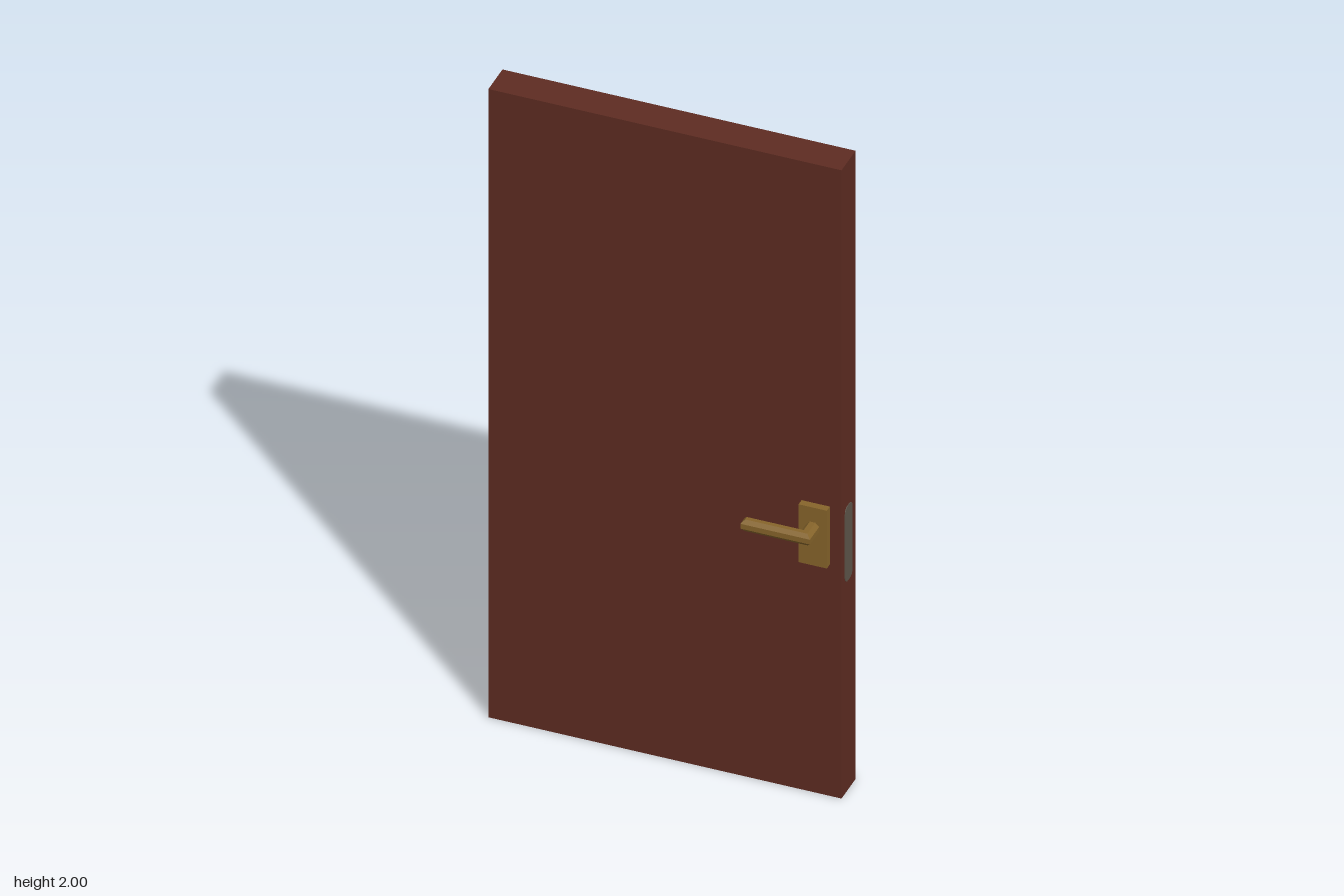
import * as THREE from 'three';

const wood = new THREE.MeshStandardMaterial({ color: 0x5e2c22 });
wood.name = 'reddish wood';
const brass = new THREE.MeshStandardMaterial({ color: 0x87652b, flatShading: true });
brass.name = 'brass';
const steel = new THREE.MeshStandardMaterial({ color: 0x5e554a });
steel.name = 'dull steel';

const DOOR_Z = -0.002;

function add(parent, name, geometry, material, x = 0, y = 0, z = 0) {
  const mesh = new THREE.Mesh(geometry, material);
  mesh.name = name;
  mesh.position.set(x, y, z);
  parent.add(mesh);
  return mesh;
}

// Thin rounded plate lying against a side edge of the door (side = +1 or -1)
function edgePlate(parent, name, side, y, z, width, height, radius) {
  const w = width / 2, h = height / 2, r = radius;
  const shape = new THREE.Shape();
  shape.moveTo(-w + r, -h);
  shape.lineTo(w - r, -h);
  shape.quadraticCurveTo(w, -h, w, -h + r);
  shape.lineTo(w, h - r);
  shape.quadraticCurveTo(w, h, w - r, h);
  shape.lineTo(-w + r, h);
  shape.quadraticCurveTo(-w, h, -w, h - r);
  shape.lineTo(-w, -h + r);
  shape.quadraticCurveTo(-w, -h, -w + r, -h);
  const geometry = new THREE.ExtrudeGeometry(shape, { depth: 0.004, bevelEnabled: false, curveSegments: 4 });
  const mesh = add(parent, name, geometry, steel, side * 0.498, y, z);
  mesh.rotation.y = side * Math.PI / 2;
}

// Octagonal bar: straight stem, mitred corner, then a lever with a pointed end.
// dir = +1 for the front of the door, -1 for the back.
function leverGeometry(dir) {
  const sides = 8, stemX = 0.4265, leverZ = 0.117;
  const positions = [], index = [];
  for (let ring = 0; ring < 3; ring++) {
    for (let i = 0; i < sides; i++) {
      const a = ((i + 0.5) / sides) * Math.PI * 2;
      const c = Math.cos(a) / Math.cos(Math.PI / 8);
      const y = (0.0185 * Math.sin(a)) / Math.cos(Math.PI / 8);
      const x = ring < 2 ? stemX + 0.0185 * c : 0.245 + Math.max(0, Math.abs(y) - 0.004) * 0.9;
      const z = ring === 0 ? 0.055 : leverZ + 0.015 * c;
      positions.push(x, y, z * dir);
    }
  }
  const tri = (a, b, c) => (dir > 0 ? index.push(a, b, c) : index.push(a, c, b));
  for (let ring = 0; ring < 2; ring++) {
    for (let i = 0; i < sides; i++) {
      const a = ring * sides + i, b = ring * sides + ((i + 1) % sides);
      tri(a, b, b + sides);
      tri(a, b + sides, a + sides);
    }
  }
  // Pointed end cap
  for (let i = 1; i < sides - 1; i++) tri(2 * sides, 2 * sides + i, 2 * sides + i + 1);
  const geometry = new THREE.BufferGeometry();
  geometry.setAttribute('position', new THREE.Float32BufferAttribute(positions, 3));
  geometry.setIndex(index);
  const flat = geometry.toNonIndexed();
  flat.computeVertexNormals();
  return flat;
}

export function createModel() {
  const door = new THREE.Group();
  door.name = 'door';

  add(door, 'doorPanel', new THREE.BoxGeometry(1, 2, 0.098), wood, 0, 1, DOOR_Z);

  // Matching handles on both faces
  for (const dir of [1, -1]) {
    const handle = new THREE.Group();
    handle.name = dir > 0 ? 'frontHandle' : 'backHandle';
    add(handle, 'backplate', new THREE.BoxGeometry(0.08, 0.184, 0.03), brass, 0.427, 0.829, dir * 0.053);
    add(handle, 'lever', leverGeometry(dir), brass, 0, 0.856, 0);
    door.add(handle);
  }

  // Latch plate on the opening edge, hinge leaves on the other
  edgePlate(door, 'latchPlate', 1, 0.788, 0, 0.05, 0.238, 0.02);
  for (const y of [0.385, 1.64]) {
    edgePlate(door, 'hingeLeaf', -1, y, DOOR_Z - 0.003, 0.09, 0.23, 0.012);
  }

  return door;
}
